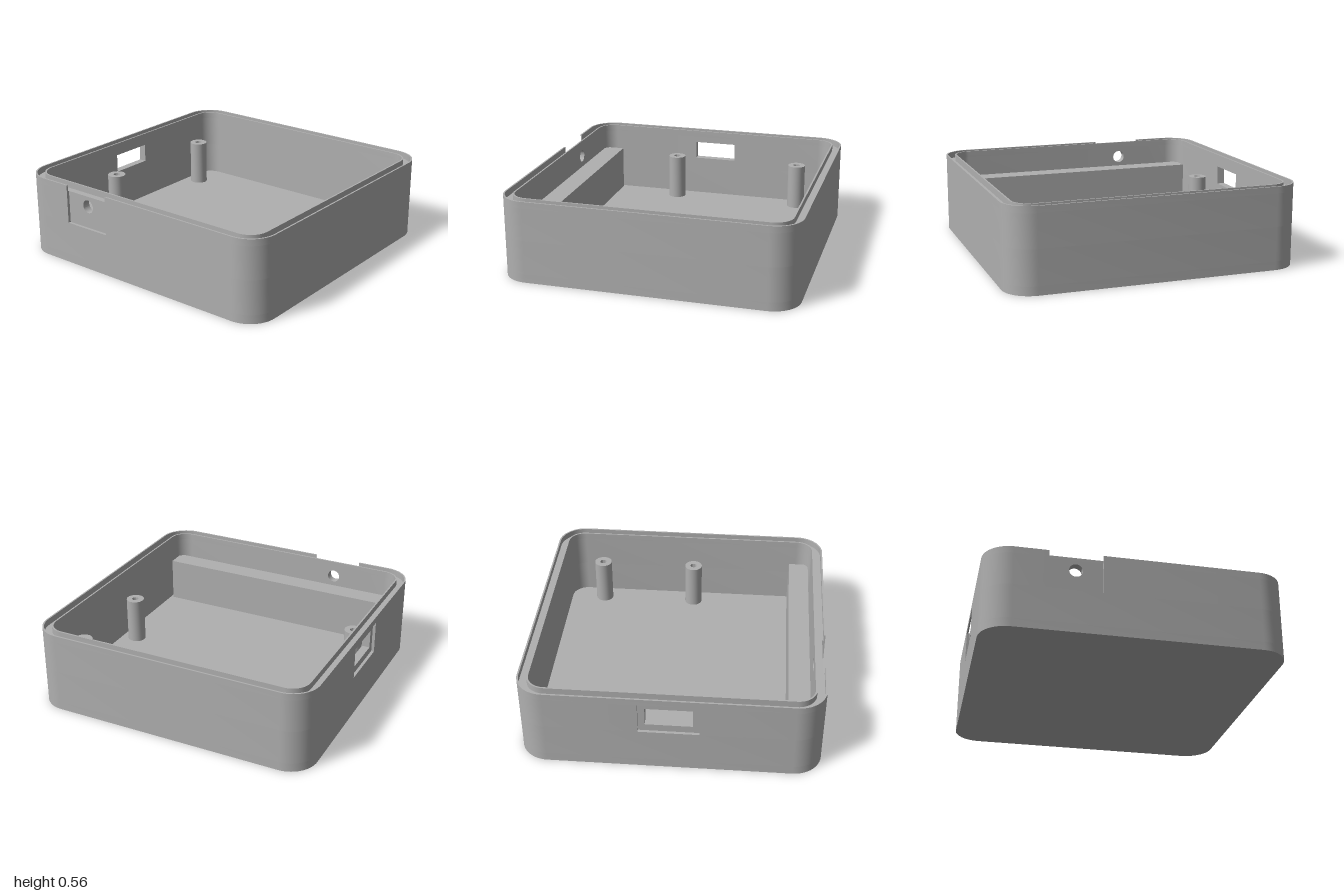
import * as THREE from 'three';
import { toCreasedNormals } from 'three/addons/utils/BufferGeometryUtils.js';

const RADIUS = 0.19, WALL = 0.075, LIP = 0.011;
const FLOOR = 0.06, RECESS_LOW = 0.295, RECESS_TOP = 0.52, TOP = 0.565;
const RECESS = 0.02, BACK_HALF = 0.2, SIDE_A = 0.235, SIDE_B = 0.585;

// Plan points (x, -z) round the listed corners, inset from the outer face
function cornerPoints(corners, inset) {
  const points = [];
  for (const c of corners) {
    const cx = (c === 0 || c === 3 ? 1 : -1) * (1 - RADIUS);
    const cy = (c < 2 ? 1 : -1) * (1 - RADIUS);
    for (let i = 0; i <= 14; i++) {
      const a = (c + i / 14) * Math.PI / 2;
      points.push(new THREE.Vector2(cx + (RADIUS - inset) * Math.cos(a), cy + (RADIUS - inset) * Math.sin(a)));
    }
  }
  return points;
}

// Points on the straight back wall and on the straight side wall
const onBack = (x) => (inset) => new THREE.Vector2(x, 1 - inset);
const onSide = (y) => (inset) => new THREE.Vector2(-1 + inset, y);

// Plan of a length of wall between two insets
function wallShape(start, corners, end, outer, inner) {
  return new THREE.Shape([
    start(outer), ...cornerPoints(corners, outer), end(outer),
    end(inner), ...cornerPoints(corners, inner).reverse(), start(inner),
  ]);
}

// Closed ring of wall
function ringShape(outer, inner) {
  const shape = new THREE.Shape(cornerPoints([0, 1, 2, 3], outer));
  shape.holes.push(new THREE.Path(cornerPoints([0, 1, 2, 3], inner)));
  return shape;
}

const extrude = (shape, depth) =>
  new THREE.ExtrudeGeometry(shape, { depth, bevelEnabled: false, curveSegments: 32 });

const rectPoints = (x0, y0, x1, y1) =>
  [[x0, y0], [x1, y0], [x1, y1], [x0, y1]].map(([x, y]) => new THREE.Vector2(x, y));

export function createModel() {
  const group = new THREE.Group();
  const grey = new THREE.MeshStandardMaterial({ color: 0xb0b0b0 });
  grey.name = 'plastic grey';

  function add(name, geometry, x = 0, y = 0, z = 0) {
    const mesh = new THREE.Mesh(toCreasedNormals(geometry, 0.6), grey);
    mesh.name = name;
    mesh.position.set(x, y, z);
    group.add(mesh);
  }
  const addLayer = (name, shape, low, high) =>
    add(name, extrude(shape, high - low).rotateX(-Math.PI / 2), 0, low, 0);

  // Floor and plain lower wall
  addLayer('floor', new THREE.Shape(cornerPoints([0, 1, 2, 3], 0)), 0, FLOOR);
  addLayer('lowerWall', ringShape(0, WALL), FLOOR, RECESS_LOW);

  // Upper wall, left open at the two recessed panels
  addLayer('upperWallCorner', wallShape(onBack(-BACK_HALF), [1], onSide(SIDE_B), 0, WALL), RECESS_LOW, RECESS_TOP);
  addLayer('upperWall', wallShape(onSide(SIDE_A), [2, 3, 0], onBack(BACK_HALF), 0, WALL), RECESS_LOW, RECESS_TOP);

  // Two thin lips with the rim groove between them
  addLayer('outerLip', wallShape(onSide(SIDE_A), [2, 3, 0, 1], onSide(SIDE_B), 0, LIP), RECESS_TOP, TOP);
  addLayer('innerLip', ringShape(WALL - LIP, WALL), RECESS_TOP, TOP);

  // Recessed back panel with the connector slot
  const back = new THREE.Shape(rectPoints(-BACK_HALF, RECESS_LOW, BACK_HALF, RECESS_TOP));
  back.holes.push(new THREE.Path(rectPoints(-0.155, 0.345, 0.155, 0.475)));
  add('connectorPanel', extrude(back, WALL - RECESS), 0, 0, -1 + RECESS);

  // Recessed side panel with the round hole
  const side = new THREE.Shape(rectPoints(SIDE_A, RECESS_LOW, SIDE_B, RECESS_TOP));
  side.holes.push(new THREE.Path().absarc(0.41, 0.448, 0.045, 0, Math.PI * 2, true));
  add('jackPanel', extrude(side, WALL - RECESS).rotateY(Math.PI / 2), -1 + RECESS, 0, 0);

  // Long block beside the side wall
  const blockHeight = 0.38 - FLOOR;
  add('sideBlock', new THREE.BoxGeometry(0.145, blockHeight, 1.81), -0.834, FLOOR + blockHeight / 2, 0);

  // Hollow screw posts
  const profile = [[0.064, FLOOR], [0.064, 0.385], [0.024, 0.385], [0.024, FLOOR]]
    .map(([r, y]) => new THREE.Vector2(r, y));
  for (const [x, z] of [[-0.28, -0.815], [0.67, -0.815], [-0.03, 0.815], [0.67, 0.815]]) {
    add('screwPost', new THREE.LatheGeometry(profile, 32), x, 0, z);
  }
  return group;
}
